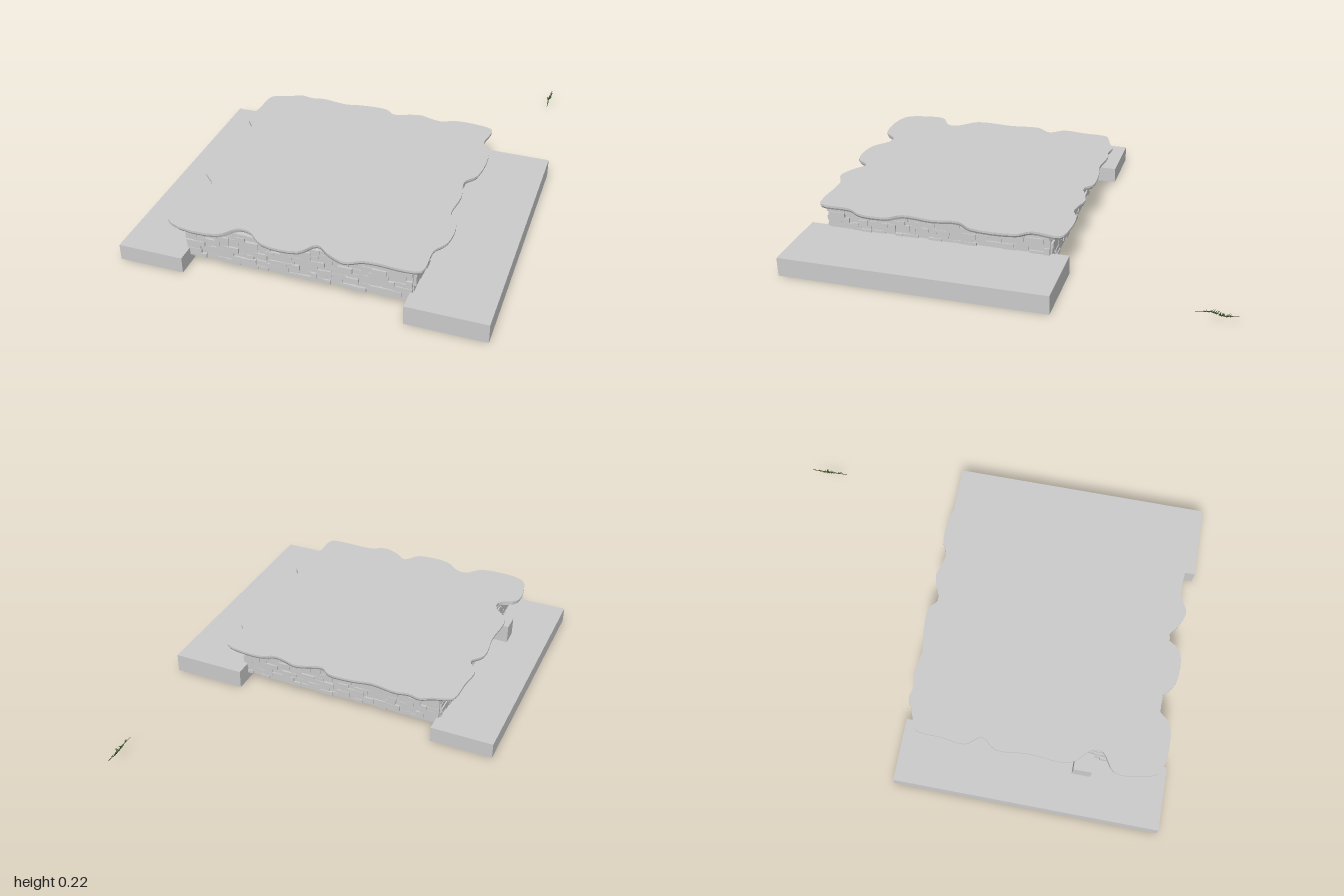
import * as THREE from 'three';
import { mergeGeometries } from 'three/addons/utils/BufferGeometryUtils.js';

const grey = () => new THREE.MeshStandardMaterial({ color: 0xcccccc, flatShading: true });

// Small seeded generator for the irregular masonry and foliage
function seeded(seed) {
  return () => (seed = (seed * 16807) % 2147483647) / 2147483647;
}

// Box geometry from its minimum and maximum corners
function span(x0, x1, y0, y1, z0, z1) {
  return new THREE.BoxGeometry(x1 - x0, y1 - y0, z1 - z0)
    .translate((x0 + x1) / 2, (y0 + y1) / 2, (z0 + z1) / 2);
}

function part(name, geometry, material = grey()) {
  const mesh = new THREE.Mesh(geometry, material);
  mesh.name = name;
  return mesh;
}

// Worn top slab: smooth closed outline (x, z), extruded upwards
function topSlab() {
  const outline = [
    [-0.6, -0.17], [-0.57, -0.19], [-0.51, -0.21], [-0.46, -0.235], [-0.4, -0.225], [-0.34, -0.235],
    [-0.22, -0.22], [-0.13, -0.235], [-0.01, -0.235], [0.04, -0.2], [0.12, -0.225], [0.17, -0.235],
    [0.22, -0.22], [0.28, -0.21], [0.34, -0.235], [0.45, -0.235], [0.53, -0.21], [0.52, -0.08],
    [0.56, -0.02], [0.56, 0.19], [0.515, 0.26], [0.53, 0.38], [0.52, 0.52], [0.56, 0.58],
    [0.56, 0.71], [0.52, 0.78], [0.51, 0.92], [0.45, 0.935], [0.33, 0.93], [0.27, 0.935],
    [0.2, 0.965], [0.12, 0.935], [0.06, 0.895], [0, 0.96], [-0.16, 0.96], [-0.24, 0.9],
    [-0.29, 0.895], [-0.36, 0.96], [-0.58, 0.945], [-0.62, 0.85], [-0.62, 0.74], [-0.54, 0.68],
    [-0.54, 0.63], [-0.615, 0.54], [-0.61, 0.35], [-0.62, 0.2], [-0.575, 0.13], [-0.62, 0.06], [-0.61, -0.05],
  ].map(([x, z]) => new THREE.Vector3(x, -z, 0));
  const curve = new THREE.CatmullRomCurve3(outline, true, 'centripetal');
  const shape = new THREE.Shape(curve.getPoints(196).slice(0, -1).map(p => new THREE.Vector2(p.x, p.y)));
  const g = new THREE.ExtrudeGeometry(shape, { depth: 0.02, bevelEnabled: false, steps: 2 });
  // Pull the bottom rim in a little for a chipped edge
  const pos = g.attributes.position;
  for (let i = 0; i < pos.count; i++) {
    if (pos.getZ(i) > 0.005) continue;
    const x = pos.getX(i), y = pos.getY(i);
    pos.setXY(i, -0.03 + (x + 0.03) * 0.99, -0.365 + (y + 0.365) * 0.99);
  }
  g.rotateX(-Math.PI / 2).translate(0, 0.2, 0);
  g.computeVertexNormals();
  return g;
}

// Rough stone courses on the four sides of the core
function stoneCourses(x0, x1, z0, z1) {
  const rnd = seeded(4711);
  const stones = [];
  const levels = [0.04, 0.056, 0.078, 0.1, 0.12, 0.142, 0.165, 0.182, 0.2];
  const sides = [
    { from: x0, to: x1, face: z1, out: 1, alongX: true },
    { from: x0, to: x1, face: z0, out: -1, alongX: true },
    { from: z0, to: z1, face: x1, out: 1, alongX: false },
    { from: z0, to: z1, face: x0, out: -1, alongX: false },
  ];
  for (const { from, to, face, out, alongX } of sides) {
    for (let r = 0; r < levels.length - 1; r++) {
      for (let a = from; a < to - 0.001;) {
        let b = a + 0.025 + rnd() * 0.05;
        if (to - b < 0.025) b = to;
        const tip = face + out * (0.002 + rnd() * 0.013);
        const lo = Math.min(face - out * 0.01, tip), hi = Math.max(face - out * 0.01, tip);
        const top = Math.min(0.2, levels[r + 1] + rnd() * 0.006);
        stones.push(alongX ? span(a, b, levels[r], top, lo, hi) : span(lo, hi, levels[r], top, a, b));
        a = b;
      }
    }
  }
  return mergeGeometries(stones);
}

// Small sprig lying behind the platform: a bent stem with pointed leaves
function sprig() {
  const group = new THREE.Group();
  group.name = 'sprig';
  const rnd = seeded(99);
  const path = new THREE.CatmullRomCurve3([
    new THREE.Vector3(0.693, 0.045, -1), new THREE.Vector3(0.695, 0.04, -0.94),
    new THREE.Vector3(0.693, 0.05, -0.89), new THREE.Vector3(0.697, 0.045, -0.82),
  ]);
  group.add(part('stem', new THREE.TubeGeometry(path, 12, 0.0015, 4),
    new THREE.MeshStandardMaterial({ color: 0x4a3b2a })));
  const leaves = [];
  for (let i = 0; i < 34; i++) {
    const leaf = new THREE.ConeGeometry(0.0035, 0.018, 4).translate(0, 0.009, 0).scale(1, 1, 0.35);
    leaf.rotateY(rnd() * 6.28).rotateX((rnd() - 0.5) * 2.6).rotateZ((rnd() - 0.5) * 2.2);
    const p = path.getPoint(0.2 + rnd() * 0.6);
    leaves.push(leaf.translate(p.x, p.y - 0.002, p.z));
  }
  group.add(part('leaves', mergeGeometries(leaves),
    new THREE.MeshStandardMaterial({ color: 0x3f5a2c, flatShading: true })));
  return group;
}

export function createModel() {
  const model = new THREE.Group();
  model.name = 'stonePlatform';
  model.add(
    // Low plinths on both sides
    part('rightPlinth', span(-0.815, -0.52, 0, 0.075, -0.24, 0.99)),
    part('leftPlinth', span(0.46, 0.81, 0, 0.09, -0.235, 1)),
    // Masonry body
    part('core', span(-0.53, 0.47, 0.04, 0.2, -0.15, 0.9)),
    part('stoneCourses', stoneCourses(-0.53, 0.47, -0.15, 0.9)),
    // Block jutting from the side wall
    part('sideBlock', span(-0.63, -0.545, 0.04, 0.165, 0.562, 0.648)),
    part('topSlab', topSlab()),
    sprig(),
  );
  return model;
}
